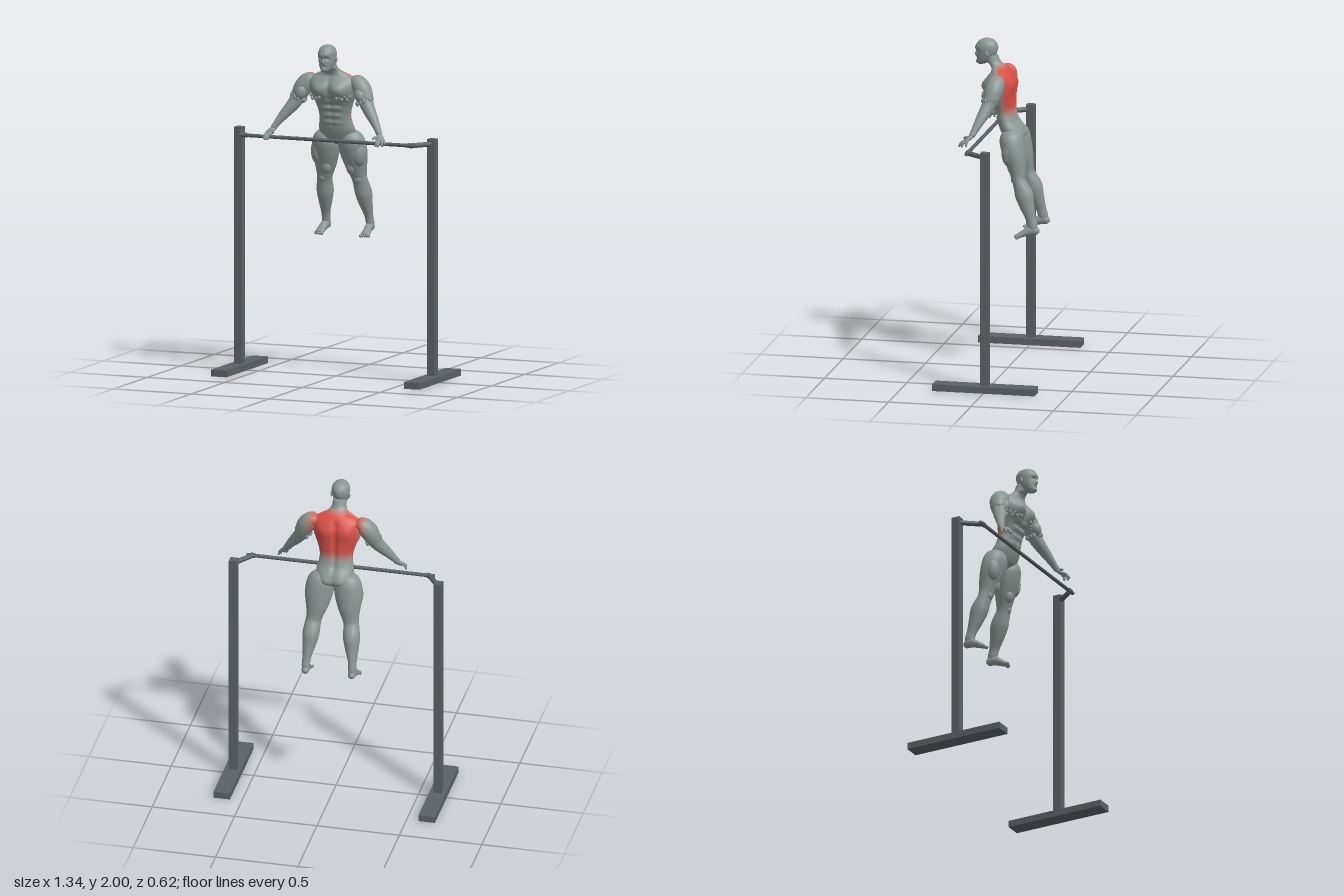
import * as THREE from 'three';

const mat = (name, color) => {
  const m = new THREE.MeshStandardMaterial({ color });
  m.name = name;
  return m;
};
const metal = mat('dark metal', 0x5b6165);
// Skin grey to muscle red in five steps
const skin = [
  mat('grey skin', 0x8b9794), mat('faint pink', 0xa1908c), mat('dusty pink', 0xb58079),
  mat('light red', 0xc9685f), mat('muscle red', 0xd95047),
];
const clamp = (v) => Math.min(1, Math.max(0, v));
const gauss = (a, b, r) => Math.exp(-(a * a + b * b) / (r * r));

// Smooth closed tube through sections [x, y, z, a, b]; ref sets the direction of radius b
function loft(sections, { rings = 40, sides = 28, ref = [0, 0, 1], axis = null, warp = null, tint = null } = {}) {
  const curve = (f) => new THREE.CatmullRomCurve3(sections.map(f), false, 'catmullrom', 0.5);
  const path = curve((s) => new THREE.Vector3(s[0], s[1], s[2]));
  const size = curve((s) => new THREE.Vector3(s[3], s[4], 0));
  const R = new THREE.Vector3(...ref);
  const pts = [];
  const add = (p) => { if (warp) warp(p); pts.push(p); };
  for (let i = 0; i <= rings; i++) {
    const c = path.getPoint(i / rings), r = size.getPoint(i / rings);
    const T = axis ? new THREE.Vector3(...axis) : path.getTangent(i / rings);
    const V = R.clone().addScaledVector(T, -R.dot(T)).normalize();
    const U = V.clone().cross(T);
    for (let j = 0; j < sides; j++) {
      const t = (j / sides) * Math.PI * 2;
      add(c.clone().addScaledVector(U, Math.cos(t) * Math.max(r.x, 0.001))
        .addScaledVector(V, Math.sin(t) * Math.max(r.y, 0.001)));
    }
  }
  const first = pts.length;
  add(path.getPoint(0));
  add(path.getPoint(1));
  const buckets = skin.map(() => []);
  const face = (a, b, c) => {
    const m = pts[a].clone().add(pts[b]).add(pts[c]).divideScalar(3);
    buckets[tint ? tint(m) : 0].push(a, b, c);
  };
  for (let j = 0; j < sides; j++) {
    const k = (j + 1) % sides, e = rings * sides;
    for (let i = 0; i < rings; i++) {
      const a = i * sides + j, b = i * sides + k;
      face(a, b, a + sides);
      face(b, b + sides, a + sides);
    }
    face(first, k, j);
    face(first + 1, e + j, e + k);
  }
  const g = new THREE.BufferGeometry().setFromPoints(pts);
  g.setIndex(buckets.flat());
  let start = 0;
  buckets.forEach((b, i) => {
    if (b.length) g.addGroup(start, b.length, i);
    start += b.length;
  });
  g.computeVertexNormals();
  return g;
}

// Red highlight on the upper back, fading at its borders
function backTint(p) {
  const front = 0.03 + 0.04 * clamp((p.y - 1.74) / 0.07);
  const v = Math.min((0.2 - Math.abs(p.x)) / 0.085, (p.y - 1.53) / 0.08, (1.86 - p.y) / 0.035, (front - p.z) / 0.04);
  return Math.round(clamp(v) * 4);
}

// Chest, stomach, spine, shoulder blade and buttock relief
function torsoWarp(p) {
  const ax = Math.abs(p.x), y = p.y;
  const front = clamp((p.z - 0.04) / 0.05), back = clamp((0.01 - p.z) / 0.04);
  const trunk = clamp((y - 1.47) / 0.04) * clamp((1.82 - y) / 0.04);
  const belly = clamp((y - 1.49) / 0.03) * clamp((1.67 - y) / 0.02) * clamp((0.08 - ax) / 0.03);
  p.z += front * (0.032 * gauss(ax - 0.068, y - 1.72, 0.05) - trunk * 0.009 * gauss(p.x, 0, 0.012));
  p.z += front * belly * 0.006 * Math.cos((y - 1.52) * 140);
  p.z -= back * (0.012 * gauss(ax - 0.07, y - 1.73, 0.05) + 0.022 * gauss(ax - 0.055, y - 1.43, 0.045));
  p.z += back * trunk * 0.014 * gauss(p.x, 0, 0.016);
}

// Eye sockets, brow and mouth
function faceWarp(p) {
  const f = clamp((p.z - 0.15) / 0.03), ax = Math.abs(p.x);
  p.z += f * (-0.011 * gauss(ax - 0.021, p.y - 1.922, 0.011) + 0.005 * gauss(ax - 0.015, p.y - 1.94, 0.012)
    - 0.005 * gauss(p.x * 0.4, p.y - 1.873, 0.006) + 0.005 * gauss(p.x, p.y - 1.853, 0.014));
}

export function createModel() {
  const model = new THREE.Group();
  model.name = 'athlete on bar';
  const frame = new THREE.Group(), body = new THREE.Group();
  frame.name = 'bar frame';
  body.name = 'athlete';
  model.add(frame, body);
  const put = (parent, name, geo, material) => {
    const m = new THREE.Mesh(geo, material);
    m.name = name;
    parent.add(m);
    return m;
  };
  const rod = (name, a, b, r) => {
    const A = new THREE.Vector3(...a), B = new THREE.Vector3(...b), d = B.clone().sub(A);
    const m = put(frame, name, new THREE.CylinderGeometry(r, r, d.length(), 20), metal);
    m.position.copy(A).add(B).multiplyScalar(0.5);
    m.quaternion.setFromUnitVectors(new THREE.Vector3(0, 1, 0), d.normalize());
  };
  const blob = (name, pos, scale, tilt = 0) => {
    const m = put(body, name, new THREE.SphereGeometry(1, 20, 14), skin[0]);
    m.position.set(...pos);
    m.scale.set(...scale);
    m.rotation.z = tilt;
  };

  // Frame
  rod('pullBar', [-0.57, 1.425, 0.125], [0.57, 1.425, 0.125], 0.011);
  for (const s of [1, -1]) {
    put(frame, 'foot beam', new THREE.BoxGeometry(0.1, 0.04, 0.62), metal).position.set(s * 0.622, 0.02, 0);
    put(frame, 'post', new THREE.BoxGeometry(0.047, 1.415, 0.05), metal).position.set(s * 0.622, 0.7475, 0);
    rod('bar arm', [s * 0.622, 1.425, 0.01], [s * 0.535, 1.425, 0.125], 0.015);
    rod('bar sleeve', [s * 0.545, 1.425, 0.125], [s * 0.52, 1.425, 0.125], 0.015);
  }

  // Torso with neck, from crotch upwards
  const up = [0, 1, 0];
  const torso = [
    [1.385, -0.035, 0.02, 0.03], [1.42, -0.035, 0.095, 0.06], [1.47, -0.02, 0.113, 0.068], [1.52, 0, 0.104, 0.062],
    [1.57, 0.012, 0.1, 0.06], [1.63, 0.022, 0.115, 0.068], [1.69, 0.035, 0.14, 0.08], [1.74, 0.04, 0.152, 0.083],
    [1.78, 0.04, 0.148, 0.07], [1.81, 0.042, 0.11, 0.053], [1.835, 0.058, 0.06, 0.045], [1.86, 0.085, 0.043, 0.042],
    [1.9, 0.1, 0.038, 0.038],
  ].map(([y, z, a, b]) => [0, y, z, a, b]);
  put(body, 'torso', loft(torso, { rings: 96, sides: 80, axis: up, warp: torsoWarp, tint: backTint }), skin);

  // Head
  const head = [
    [1.84, 0.165, 0.01, 0.01], [1.85, 0.157, 0.027, 0.03], [1.875, 0.142, 0.041, 0.047], [1.91, 0.13, 0.05, 0.061],
    [1.95, 0.127, 0.053, 0.067], [1.98, 0.126, 0.042, 0.052], [1.995, 0.126, 0.021, 0.027], [2, 0.126, 0.003, 0.003],
  ].map(([y, z, a, b]) => [0, y, z, a, b]);
  put(body, 'head', loft(head, { rings: 64, sides: 64, axis: up, warp: faceWarp }), skin);
  const nose = [[0, 1.93, 0.186, 0.004, 0.005], [0, 1.91, 0.19, 0.007, 0.008], [0, 1.896, 0.192, 0.01, 0.009], [0, 1.89, 0.186, 0.004, 0.004]];
  put(body, 'nose', loft(nose, { rings: 14, sides: 14 }), skin);

  for (const s of [1, -1]) {
    const side = (list) => list.map(([x, ...rest]) => [s * x, ...rest]);
    blob('ear', [s * 0.053, 1.912, 0.118], [0.006, 0.019, 0.012]);

    // Arm from shoulder to wrist
    put(body, 'arm', loft(side([
      [0.11, 1.775, 0.03, 0.02, 0.03], [0.15, 1.77, 0.035, 0.046, 0.05], [0.185, 1.735, 0.042, 0.054, 0.056],
      [0.208, 1.69, 0.052, 0.05, 0.05], [0.225, 1.65, 0.065, 0.042, 0.042], [0.255, 1.605, 0.085, 0.036, 0.036],
      [0.29, 1.56, 0.107, 0.029, 0.029], [0.325, 1.51, 0.13, 0.02, 0.021], [0.34, 1.485, 0.142, 0.018, 0.018],
      [0.347, 1.472, 0.15, 0.008, 0.008],
    ]), { rings: 56, sides: 36, tint: backTint }), skin);
    blob('biceps', [s * 0.192, 1.695, 0.082], [0.034, 0.045, 0.034], s * 0.4);
    blob('triceps', [s * 0.226, 1.695, 0.048], [0.028, 0.045, 0.04], s * 0.4);
    // Rough folds around the upper arm and under the chest
    for (let i = 0; i < 14; i++) {
      const t = (i / 14) * Math.PI * 2, w = 0.008 + 0.004 * Math.sin(i * 2.3);
      blob('arm fold', [s * (0.212 + 0.043 * Math.cos(t)), 1.668 + 0.016 * Math.cos(t) + 0.008 * Math.sin(i * 4.1),
        0.062 + 0.042 * Math.sin(t)], [w, w * 1.5, w]);
    }
    for (let i = 0; i < 6; i++) {
      blob('chest fold', [s * (0.055 + i * 0.014), 1.678 + 0.01 * Math.sin(i * 2.7), 0.124 - i * 0.008], [0.009, 0.012, 0.008]);
    }

    // Hand with spread fingers
    put(body, 'palm', loft(side([
      [0.338, 1.49, 0.138, 0.012, 0.012], [0.346, 1.473, 0.152, 0.021, 0.014],
      [0.354, 1.458, 0.17, 0.026, 0.012], [0.358, 1.45, 0.182, 0.016, 0.007],
    ]), { rings: 16, sides: 20, ref: [0, 1, 0.6] }), skin);
    const fingers = [
      [[0.365, 1.468, 0.155], [0.38, 1.448, 0.166], [0.387, 1.425, 0.168]],
      [[0.368, 1.458, 0.168], [0.378, 1.442, 0.188], [0.38, 1.42, 0.196]],
      [[0.358, 1.455, 0.175], [0.364, 1.44, 0.203], [0.362, 1.42, 0.216]],
      [[0.348, 1.458, 0.175], [0.35, 1.442, 0.203], [0.348, 1.422, 0.214]],
      [[0.342, 1.472, 0.155], [0.328, 1.47, 0.178], [0.32, 1.462, 0.195]],
    ];
    fingers.forEach(([a, b, c], i) => put(body, i < 4 ? 'finger' : 'thumb', loft(side([
      [...a, 0.008, 0.008], [...b, 0.008, 0.008], [...c, 0.006, 0.006],
    ]), { rings: 10, sides: 10, ref: [1, 0, 0.2] }), skin));

    // Leg from hip to ankle
    put(body, 'leg', loft(side([
      [0.058, 1.465, -0.028, 0.03, 0.04], [0.078, 1.415, -0.038, 0.078, 0.07], [0.09, 1.34, -0.055, 0.084, 0.069],
      [0.098, 1.265, -0.073, 0.069, 0.058], [0.108, 1.2, -0.086, 0.051, 0.045], [0.115, 1.16, -0.096, 0.047, 0.041],
      [0.123, 1.09, -0.124, 0.05, 0.054], [0.129, 1.03, -0.142, 0.042, 0.046], [0.138, 0.95, -0.168, 0.026, 0.031],
      [0.141, 0.9, -0.182, 0.024, 0.03], [0.141, 0.872, -0.187, 0.016, 0.02],
    ]), { rings: 64, sides: 40 }), skin);
    blob('outer thigh muscle', [s * 0.128, 1.34, -0.035], [0.045, 0.085, 0.045], s * 0.05);
    blob('inner knee muscle', [s * 0.082, 1.25, -0.045], [0.034, 0.05, 0.032]);
    blob('kneecap', [s * 0.114, 1.175, -0.062], [0.024, 0.028, 0.018]);

    // Foot and toes
    put(body, 'foot', loft(side([
      [0.139, 0.876, -0.222, 0.005, 0.007], [0.14, 0.876, -0.205, 0.021, 0.024], [0.142, 0.877, -0.17, 0.024, 0.029],
      [0.145, 0.859, -0.13, 0.026, 0.021], [0.147, 0.843, -0.098, 0.029, 0.015], [0.147, 0.836, -0.08, 0.025, 0.01],
    ]), { rings: 32, sides: 24, ref: up }), skin);
    for (let i = 0; i < 5; i++) {
      blob('toe', [s * (0.125 + i * 0.0115), 0.834, -0.077 - i * 0.004], [i ? 0.0065 : 0.009, 0.009, 0.014]);
    }
  }
  return model;
}
